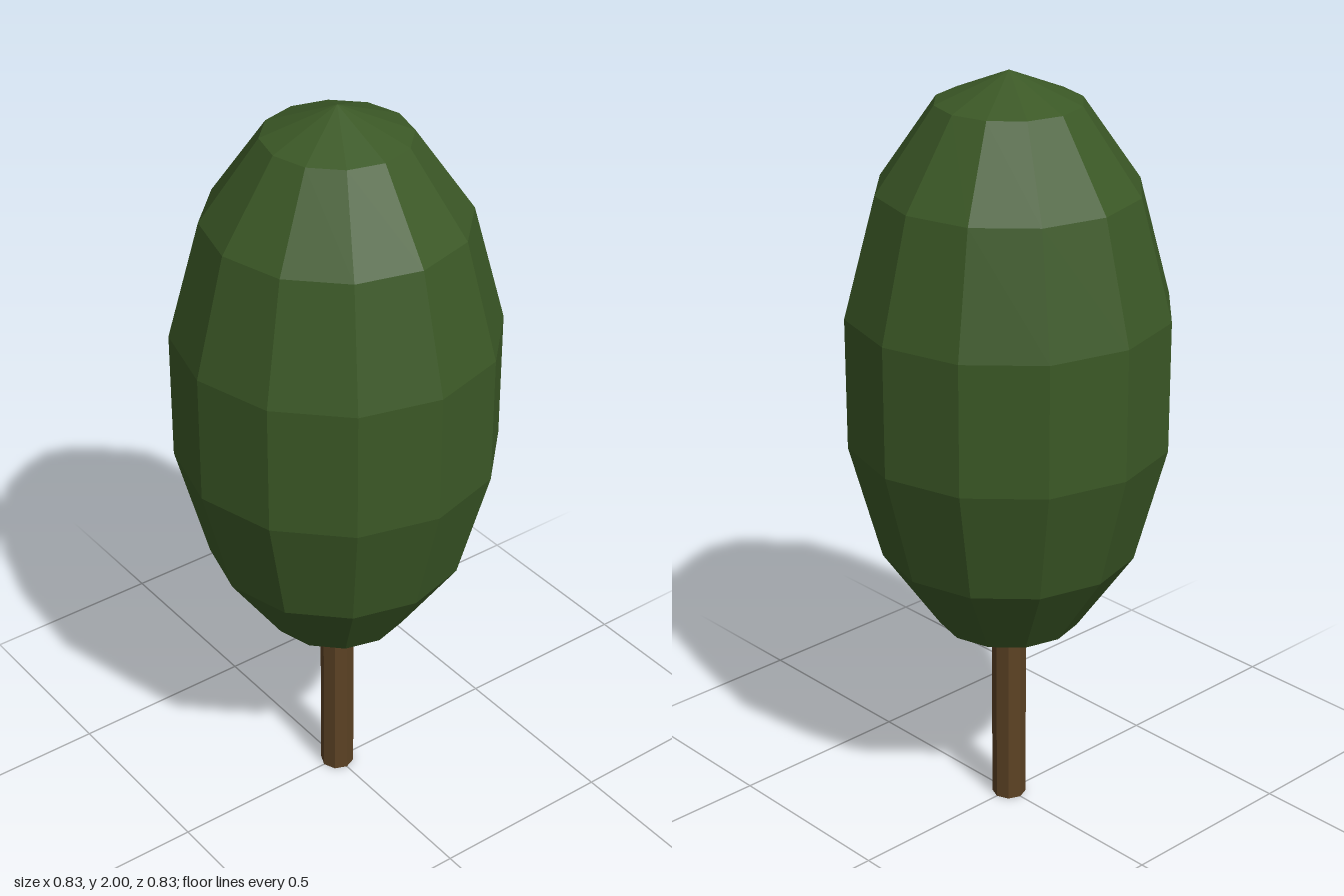
import * as THREE from 'three';

export function createModel() {
  const tree = new THREE.Group();
  tree.name = 'tree';

  const leafGreen = new THREE.MeshStandardMaterial({ color: 0x3b5826, flatShading: true });
  leafGreen.name = 'leaf green';
  const barkBrown = new THREE.MeshStandardMaterial({ color: 0x5c4224, flatShading: true });
  barkBrown.name = 'bark brown';

  // Slim faceted trunk, its top sunk into the foliage
  const trunkHeight = 0.6;
  const trunk = new THREE.Mesh(new THREE.CylinderGeometry(0.045, 0.045, trunkHeight, 8), barkBrown);
  trunk.name = 'trunk';
  trunk.position.y = trunkHeight / 2;
  tree.add(trunk);

  // Tall egg-shaped foliage: a low-poly sphere stretched upward
  const foliageGeometry = new THREE.SphereGeometry(1, 12, 7);
  foliageGeometry.scale(0.425, 0.77, 0.425);
  const foliage = new THREE.Mesh(foliageGeometry, leafGreen);
  foliage.name = 'foliage';
  foliage.position.y = 1.23;
  tree.add(foliage);

  return tree;
}
